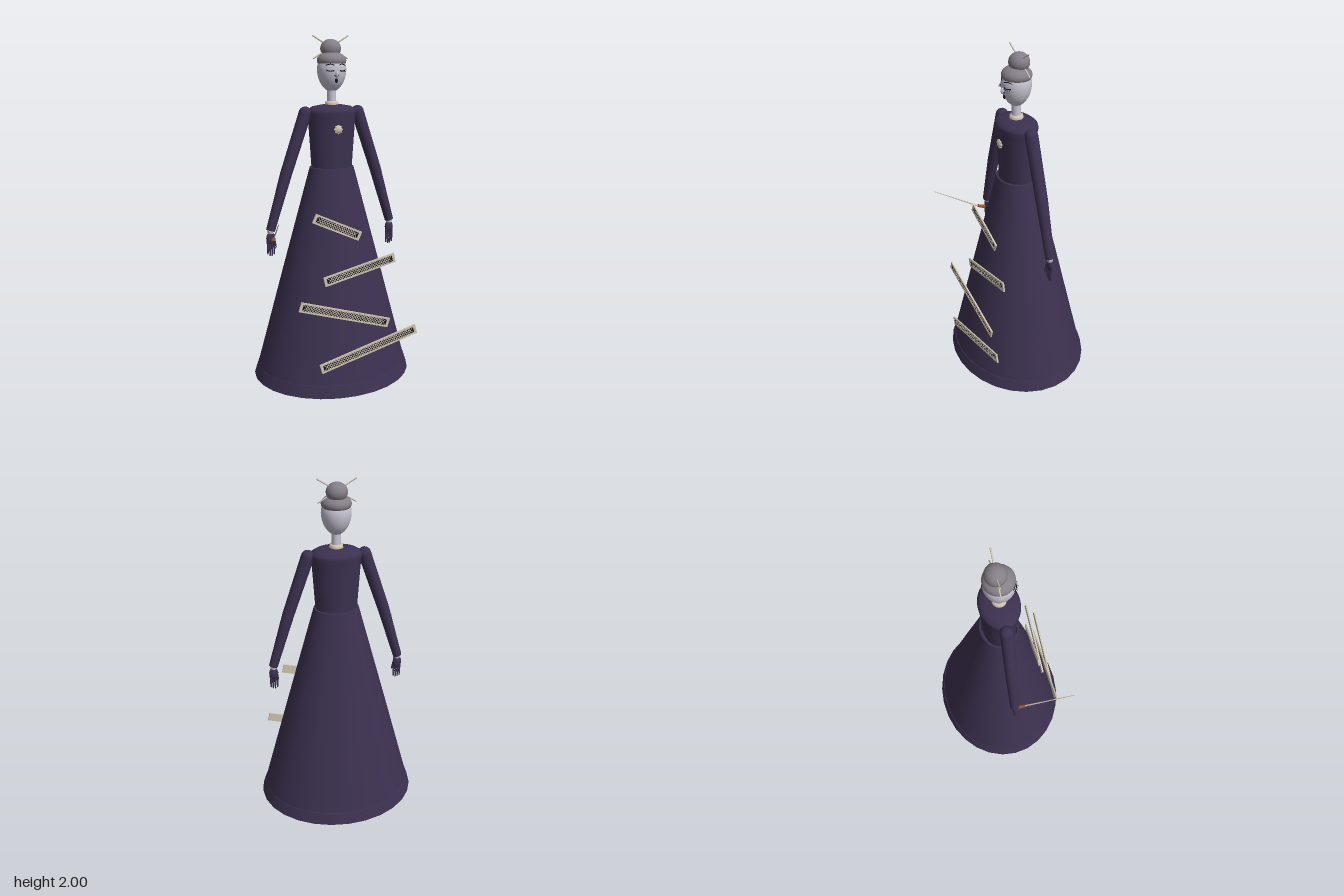
import * as THREE from 'three';

const mat = (name, color, side = THREE.FrontSide) => {
  const m = new THREE.MeshStandardMaterial({ color, side });
  m.name = name;
  return m;
};
const V = (x, y, z = 0) => new THREE.Vector3(x, y, z);

export function createModel() {
  const root = new THREE.Group();
  root.name = 'gownedLady';
  const dress = mat('darkPlum', 0x3c3150, THREE.DoubleSide);
  const skin = mat('paleSkin', 0xc6c4d2);
  const hairMat = mat('greyHair', 0x857f88);
  const cream = mat('ivory', 0xcfc5b0);
  const ink = mat('ink', 0x17131f);
  const rust = mat('rust', 0x9c5232);

  const add = (name, geo, material, parent = root) => {
    const m = new THREE.Mesh(geo, material);
    m.name = name;
    parent.add(m);
    return m;
  };
  // elliptical body of revolution, profile listed from bottom to top
  const lathe = (name, pts, material, zScale = 1, seg = 40, parent = root) => {
    const geo = new THREE.LatheGeometry(pts.map(p => new THREE.Vector2(p[0], p[1])), seg);
    geo.scale(1, 1, zScale);
    return add(name, geo, material, parent);
  };
  const ball = (name, p, r, material, parent = root, seg = 20) => {
    const m = add(name, new THREE.SphereGeometry(1, seg, Math.ceil(seg * 0.7)), material, parent);
    m.position.copy(p);
    m.scale.set(...(Array.isArray(r) ? r : [r, r, r]));
    return m;
  };
  // tapered round rod from a to b
  const rod = (name, a, b, ra, rb, material, parent = root, seg = 14) => {
    const d = b.clone().sub(a);
    const m = add(name, new THREE.CylinderGeometry(rb, ra, d.length(), seg), material, parent);
    m.position.copy(a).addScaledVector(d, 0.5);
    m.quaternion.setFromUnitVectors(V(0, 1, 0), d.normalize());
    return m;
  };

  // gown, closed underneath
  lathe('skirt', [[0.465, 0.03], [0.3, 0.64], [0.13, 1.26]], dress, 0.85, 48);
  lathe('hem', [[0.48, 0], [0.457, 0.068]], dress, 0.857, 28);
  lathe('hemLip', [[0.457, 0.068], [0.44, 0.072]], dress, 0.857, 28);
  lathe('skirtBase', [[0, 0.001], [0.479, 0.001]], dress, 0.857, 28);
  lathe('waistTop', [[0.118, 1.262], [0.13, 1.26]], dress, 0.85);
  lathe('bodice', [[0.12, 1.25], [0.127, 1.36], [0.135, 1.48], [0.14, 1.55], [0.145, 1.575], [0.14, 1.592],
    [0.115, 1.607], [0.06, 1.617], [0, 1.62]], dress, 0.765);

  // arms and hands
  for (const s of [-1, 1]) {
    const arm = new THREE.Group();
    arm.name = s > 0 ? 'leftArm' : 'rightArm';
    root.add(arm);
    const shoulder = V(s * 0.16, 1.573), elbow = V(s * 0.277, 1.235), wrist = V(s * 0.376, 0.91);
    ball('shoulder', shoulder, 0.037, dress, arm);
    rod('upperArm', shoulder, elbow, 0.037, 0.034, dress, arm);
    ball('elbow', elbow, 0.034, dress, arm);
    rod('forearm', elbow, wrist, 0.034, 0.026, dress, arm);
    rod('wrist', wrist, V(s * 0.376, 0.892), 0.02, 0.016, skin, arm);
    ball('palm', V(s * 0.376, 0.863), [0.027, 0.038, 0.015], dress, arm, 14);
    for (let i = 0; i < 4; i++) {
      const x = s * (0.357 + i * 0.0125), tip = 0.755 + Math.abs(i - 1.4) * 0.008;
      rod('finger', V(x, 0.85), V(x, 0.8, 0.004), 0.0065, 0.006, dress, arm, 8);
      rod('fingertip', V(x, 0.8, 0.004), V(x, tip), 0.006, 0.004, dress, arm, 8);
    }
    rod('thumb', V(s * 0.358, 0.865, 0.006), V(s * 0.348, 0.81, 0.014), 0.007, 0.004, dress, arm, 8);
  }

  // neck, collar and brooch
  lathe('neck', [[0.026, 1.6], [0.025, 1.72]], skin, 1, 20);
  lathe('collar', [[0.036, 1.61], [0.039, 1.618], [0.037, 1.634], [0.025, 1.637]], cream, 1, 24);
  const brooch = new THREE.Group();
  brooch.name = 'brooch';
  root.add(brooch);
  ball('broochStone', V(0, 1.485, 0.104), [0.023, 0.023, 0.013], cream, brooch, 16);
  for (let i = 0; i < 8; i++) {
    const a = i * Math.PI / 4;
    ball('broochBead', V(0.02 * Math.cos(a), 1.485 + 0.02 * Math.sin(a), 0.106), 0.007, cream, brooch, 8);
  }

  // head, an egg that narrows to the chin
  const headR = y => (y < 1.815
    ? 0.083 * Math.sqrt(Math.max(0, 1 - ((1.815 - y) / 0.127) ** 2)) ** 1.1
    : 0.083 * Math.sqrt(Math.max(0, 1 - ((y - 1.815) / 0.085) ** 2)));
  const headPts = [];
  for (let i = 0; i <= 18; i++) {
    const y = 1.794 - 0.106 * Math.cos(i / 18 * Math.PI);
    headPts.push([headR(y), y]);
  }
  lathe('head', headPts, skin, 1, 32);
  ball('hairCap', V(0, 1.862, -0.002), [0.083, 0.05, 0.083], hairMat, root, 32);
  ball('bun', V(0, 1.927, -0.017), [0.059, 0.053, 0.057], hairMat, root, 28);
  for (const s of [-1, 1])
    rod('hairStick', V(s * 0.105, 1.998, -0.018 + s * 0.003), V(-s * 0.105, 1.872, -0.018 + s * 0.003), 0.004, 0.004, cream, root, 8);

  // face details drawn as fine strokes over the head
  const faceZ = (x, y) => Math.sqrt(Math.max(0, headR(y) ** 2 - x * x)) + 0.001;
  const stroke = (name, pts, r) => add(name, new THREE.TubeGeometry(
    new THREE.CatmullRomCurve3(pts.map(([x, y]) => V(x, y, faceZ(x, y)))), 10, r, 6), ink);
  for (const s of [-1, 1]) {
    stroke('eyebrow', [[s * 0.014, 1.838], [s * 0.034, 1.843], [s * 0.058, 1.837]], 0.0025);
    stroke('closedEye', [[s * 0.016, 1.811], [s * 0.034, 1.805], [s * 0.056, 1.811]], 0.0025);
    for (let i = 0; i < 4; i++) {
      const x = s * (0.022 + i * 0.01);
      rod('eyelash', V(x, 1.807, faceZ(x, 1.807)), V(x * 1.1, 1.801, faceZ(x, 1.8) + 0.01), 0.0015, 0.0008, ink, root, 5);
    }
    stroke('nostril', [[s * 0.003, 1.775], [s * 0.009, 1.778], [s * 0.011, 1.784]], 0.002);
  }
  ball('nose', V(0, 1.787, 0.081), [0.009, 0.018, 0.014], skin, root, 12);
  ball('mouth', V(0, 1.754, faceZ(0, 1.754)), [0.009, 0.013, 0.007], ink, root, 12);

  // wand in the right hand
  const gripEnd = V(-0.378, 0.872, 0.065);
  rod('wandHandle', V(-0.372, 0.855, 0.02), gripEnd, 0.011, 0.009, rust);
  rod('wandShaft', gripEnd, V(-0.425, 1.03, 0.333), 0.0045, 0.002, cream, root, 8);

  // lattice panels floating before the skirt: centre x, y, z, length, tilt in degrees
  const W = 0.056;
  const panels = [
    [-0.04, 0.944, 0.195, 0.308, -25], [0.078, 0.697, 0.25, 0.446, 13],
    [-0.033, 0.457, 0.305, 0.567, -17.5], [0.097, 0.251, 0.352, 0.612, 15],
  ];
  for (const [x, y, z, L, tilt] of panels) {
    const panel = new THREE.Group();
    panel.name = 'latticePanel';
    panel.position.set(x, y, z);
    panel.rotation.z = tilt * Math.PI / 180;
    root.add(panel);
    const bar = (name, w, h, d, px, py, pz, material, rz = 0) => {
      const m = add(name, new THREE.BoxGeometry(w, h, d), material, panel);
      m.position.set(px, py, pz);
      m.rotation.z = rz;
    };
    bar('backing', L, W, 0.006, 0, 0, -0.001, cream);
    bar('darkInset', L - 0.03, W - 0.018, 0.001, 0, 0, 0.0025, ink);
    for (const s of [-1, 1]) {
      bar('longRail', L, 0.01, 0.008, 0, s * (W - 0.01) / 2, 0.001, cream);
      bar('endRail', 0.016, W, 0.008, s * (L - 0.016) / 2, 0, 0.001, cream);
      // crossed slats
      const n = Math.round((L - 0.075) / 0.017);
      for (let i = 0; i <= n; i++)
        bar('slat', 0.052, 0.0035, 0.001, -(L - 0.075) / 2 + i * (L - 0.075) / n, 0, 0.0035, cream, s * Math.PI / 4);
    }
  }
  return root;
}
